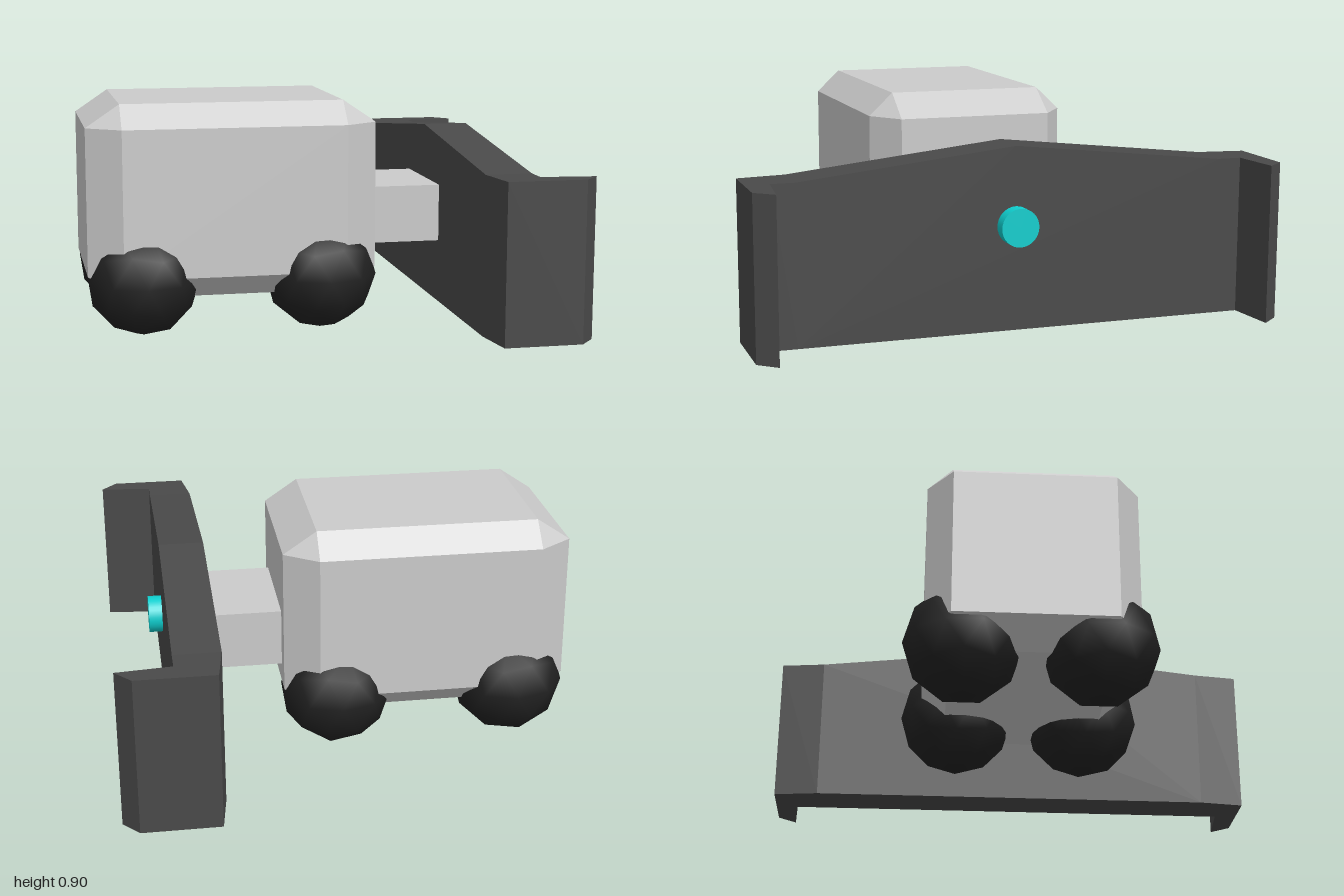
import * as THREE from 'three';
import { ConvexGeometry } from 'three/addons/geometries/ConvexGeometry.js';

const grey = new THREE.MeshStandardMaterial({ color: 0xcccccc });
const dark = new THREE.MeshStandardMaterial({ color: 0x4a4a4a });
const black = new THREE.MeshStandardMaterial({ color: 0x222222 });
const teal = new THREE.MeshStandardMaterial({ color: 0x0fcece });

function add(parent, name, geometry, material, x = 0, y = 0, z = 0) {
  const mesh = new THREE.Mesh(geometry, material);
  mesh.name = name;
  mesh.position.set(x, y, z);
  parent.add(mesh);
  return mesh;
}

// Box with every edge cut flat and a triangle at each corner
function chamferedBox(hx, hy, hz, cx, cy, cz) {
  const points = [];
  for (const sx of [-1, 1]) for (const sy of [-1, 1]) for (const sz of [-1, 1]) {
    points.push(
      new THREE.Vector3(sx * hx, sy * (hy - cy), sz * (hz - cz)),
      new THREE.Vector3(sx * (hx - cx), sy * hy, sz * (hz - cz)),
      new THREE.Vector3(sx * (hx - cx), sy * (hy - cy), sz * hz));
  }
  return new ConvexGeometry(points);
}

function extrude(points, depth) {
  const shape = new THREE.Shape(points.map(([x, y]) => new THREE.Vector2(x, y)));
  return new THREE.ExtrudeGeometry(shape, { depth, bevelEnabled: false });
}

export function createModel() {
  const model = new THREE.Group();
  model.name = 'plowVehicle';

  // Body and the arm that carries the blade
  add(model, 'body', chamferedBox(0.56, 0.373, 0.393, 0.13, 0.088, 0.093), grey, -0.33, 0.535, 0);
  add(model, 'arm', new THREE.BoxGeometry(0.36, 0.225, 0.45), grey, 0.36, 0.44, 0);

  // Ball wheels, a pole vertex pointing down, end pairs mirrored
  const ball = new THREE.IcosahedronGeometry(0.22, 1);
  ball.rotateZ(-Math.atan(2 / (1 + Math.sqrt(5))));
  for (const [x, turn] of [[-0.675, 0], [0.02, Math.PI]]) {
    for (const z of [-0.25, 0.25]) {
      add(model, 'wheel', ball, black, x, 0.225, z).rotation.y = turn;
    }
  }

  // Blade: peaked centre panel with a hooked wing at each end
  const blade = new THREE.Group();
  blade.name = 'blade';
  model.add(blade);
  const panel = extrude([[-0.82, 0.08], [0.82, 0.08], [0.82, 0.68], [0, 0.77], [-0.82, 0.68]], 0.175);
  panel.rotateY(Math.PI / 2);
  add(blade, 'bladePanel', panel, dark, 0.51);
  const plan = [[0.51, 0.82], [0.535, 1], [0.83, 1], [0.89, 0.93], [0.685, 0.91], [0.685, 0.82]];
  for (const side of [-1, 1]) {
    const wing = extrude(plan.map(([x, z]) => [x, side * z]), 0.6);
    wing.rotateX(-Math.PI / 2);
    add(blade, 'bladeWing', wing, dark, 0, 0.08, 0);
  }

  // Round button on the blade face
  const button = new THREE.CylinderGeometry(0.072, 0.072, 0.075, 32);
  button.rotateZ(Math.PI / 2);
  add(model, 'button', button, teal, 0.7, 0.475, 0);

  return model;
}
